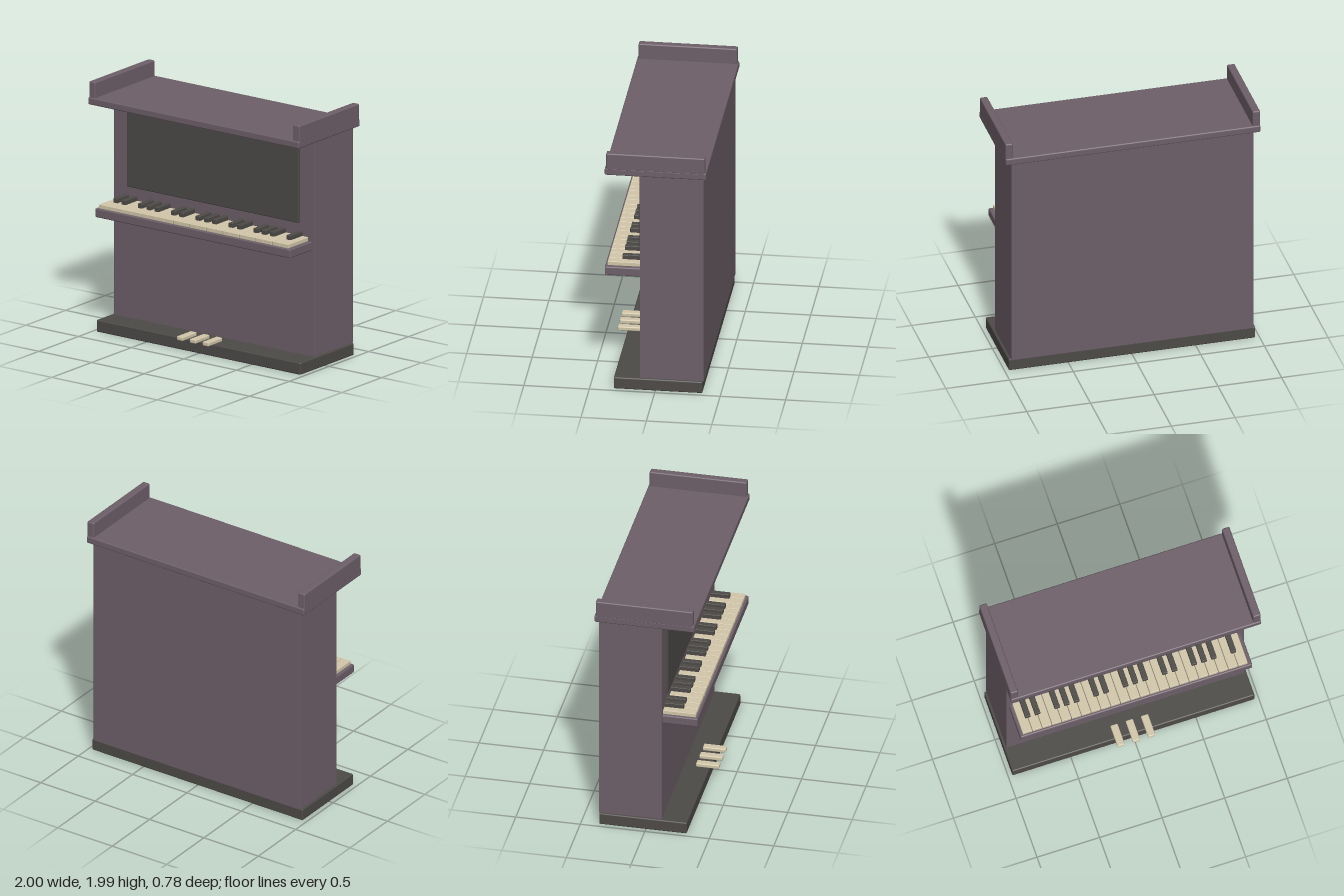
import * as THREE from 'three';
import { RoundedBoxGeometry } from 'three/addons/geometries/RoundedBoxGeometry.js';

export function createModel() {
  const piano = new THREE.Group();
  piano.name = 'uprightPiano';

  const material = (name, color) => {
    const m = new THREE.MeshStandardMaterial({ color });
    m.name = name;
    return m;
  };
  const plumWood = material('plumWood', 0x6d5f68);
  const charcoal = material('charcoal', 0x4d4a47);
  const ivory = material('ivory', 0xd2c7aa);

  // Softly bevelled block between two corners: [min, max] per axis
  const block = (name, mat, [x0, x1], [y0, y1], [z0, z1], bevel = 0.008, parent = piano) => {
    const geometry = new RoundedBoxGeometry(x1 - x0, y1 - y0, z1 - z0, 2, bevel);
    const mesh = new THREE.Mesh(geometry, mat);
    mesh.position.set((x0 + x1) / 2, (y0 + y1) / 2, (z0 + z1) / 2);
    mesh.name = name;
    parent.add(mesh);
    return mesh;
  };

  // Case
  block('base', charcoal, [-0.968, 0.968], [0, 0.095], [-0.36, 0.318], 0.01);
  block('body', plumWood, [-0.95, 0.95], [0.09, 1.815], [-0.368, 0.121], 0.004);
  block('lid', plumWood, [-1, 1], [1.806, 1.862], [-0.392, 0.383], 0.01);
  block('musicPanel', charcoal, [-0.815, 0.815], [1.132, 1.726], [0.112, 0.142], 0.008);

  // Raised rails along both ends of the lid
  for (const [name, side] of [['leftRail', 1], ['rightRail', -1]]) {
    const rail = block(name, plumWood, [0.94, 1], [1.85, 1.986], [-0.382, 0.372], 0.01);
    rail.position.x *= side;
  }

  // Keyboard shelf
  block('keyBed', plumWood, [-0.926, 0.926], [0.93, 1], [0.1, 0.392], 0.01);

  // Keys: 23 naturals, with sharps over the joints in groups of two and three
  const keyboard = new THREE.Group();
  keyboard.name = 'keyboard';
  piano.add(keyboard);
  const keyCount = 23;
  const pitch = 0.0783;
  const start = -0.905;
  for (let i = 0; i < keyCount; i++) {
    const x = start + i * pitch;
    block('whiteKey', ivory, [x + 0.002, x + pitch - 0.002], [0.998, 1.031], [0.11, 0.374], 0.004, keyboard);
    if (i > 0 && ![0, 3].includes(i % 7)) {
      block('blackKey', charcoal, [x - 0.021, x + 0.021], [1.022, 1.065], [0.11, 0.268], 0.004, keyboard);
    }
  }

  // Three foot pedals
  for (const x of [-0.122, 0, 0.122]) {
    block('pedal', ivory, [x - 0.029, x + 0.029], [0.096, 0.128], [0.213, 0.392], 0.008);
  }

  return piano;
}
